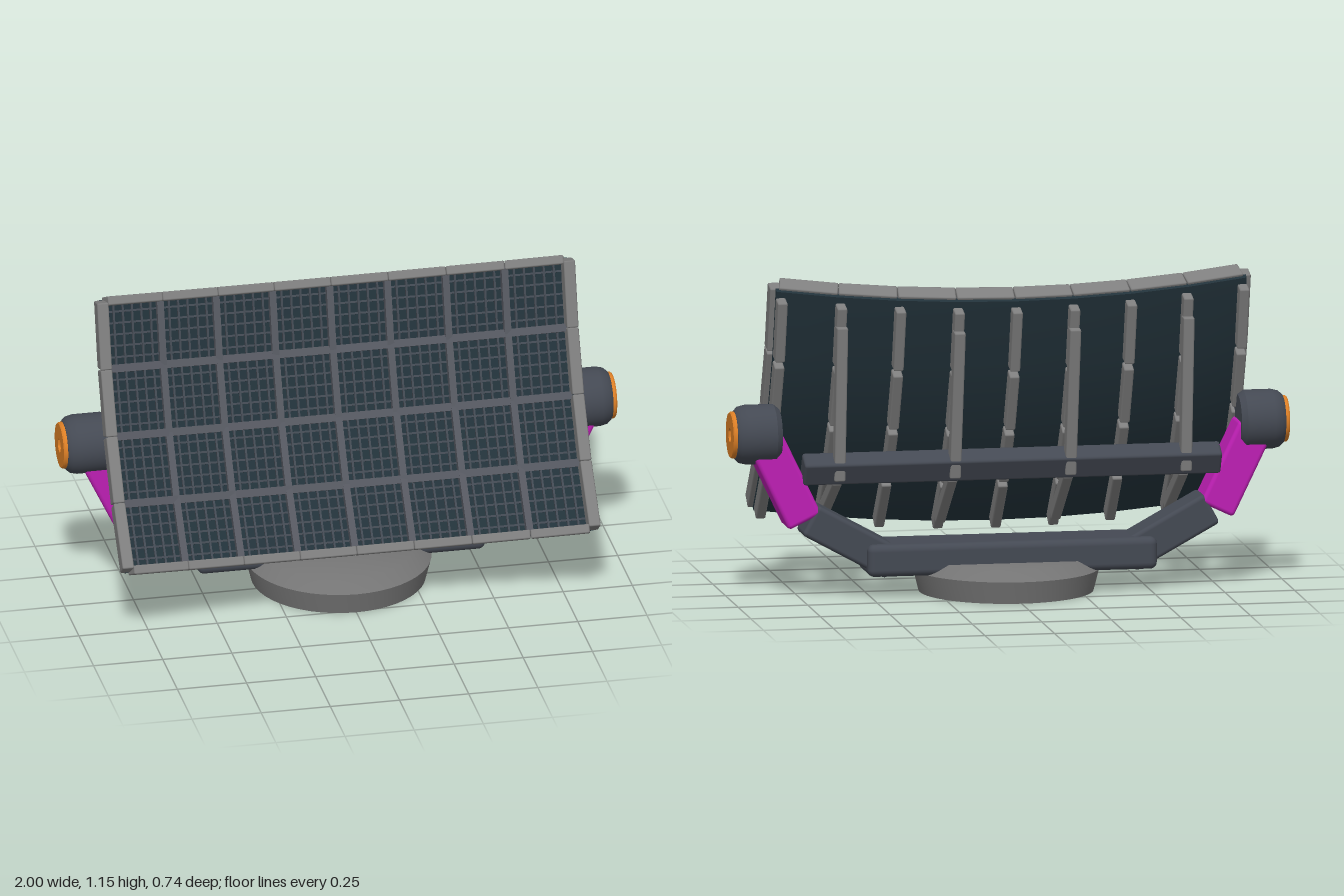
import * as THREE from 'three';
import { mergeGeometries, toCreasedNormals } from 'three/addons/utils/BufferGeometryUtils.js';
import { RoundedBoxGeometry } from 'three/addons/geometries/RoundedBoxGeometry.js';

const mat = (name, color) => {
  const m = new THREE.MeshStandardMaterial({ color });
  m.name = name;
  return m;
};

// Dish curvature: local z of the rim plane over width x and height v
const HALF_V = 0.49, HALF_X = 0.85;
const surface = (x, v) => 0.321 * (v * v - HALF_V ** 2) + 0.137 * (x * x - HALF_X ** 2);
const at = (x, v, depth) => new THREE.Vector3(x, v, surface(x, v) - depth);

// Rectangular bar from a to b, its depth facing along local z
function bar(a, b, width, depth, round = 0) {
  const dir = b.clone().sub(a);
  const len = dir.length();
  dir.normalize();
  const z = new THREE.Vector3(0, 0, 1).addScaledVector(dir, -dir.z).normalize();
  const x = new THREE.Vector3().crossVectors(dir, z);
  const geo = round ? new RoundedBoxGeometry(width, len, depth, 1, round)
    : new THREE.BoxGeometry(width, len, depth);
  const m = new THREE.Matrix4().makeBasis(x, dir, z);
  m.setPosition(a.clone().add(b).multiplyScalar(0.5));
  return geo.applyMatrix4(m);
}

export function createModel() {
  const grey = mat('frame grey', 0x7e7e7e);
  const baseGrey = mat('base grey', 0x747474);
  const slate = mat('slate', 0x444953);
  const divider = mat('divider grey', 0x555860);
  const wire = mat('wire grey', 0x424952);
  const teal = mat('dark teal', 0x22323a);
  const magenta = mat('magenta', 0xbe1fb4);
  const orange = mat('orange', 0xdc7f26);

  const root = new THREE.Group();
  const add = (parent, name, geo, material) => {
    const mesh = new THREE.Mesh(geo, material);
    mesh.name = name;
    parent.add(mesh);
    return mesh;
  };
  const lathe = (pts, seg = 48) => toCreasedNormals(
    new THREE.LatheGeometry(pts.map(p => new THREE.Vector2(...p)), seg), 0.6);

  // Round foot with a bevelled top and a bolt hole underneath
  const base = add(root, 'base', lathe([[0, 0.05], [0.045, 0.05], [0.045, 0], [0.31, 0],
    [0.33, 0.08], [0.274, 0.118], [0, 0.118]]), baseGrey);
  base.position.z = -0.046;

  // Yoke: bottom block, two sloping arms, two uprights and pivots
  const block = add(root, 'yokeBlock', new RoundedBoxGeometry(1.04, 0.115, 0.215, 3, 0.025), slate);
  block.position.set(0, 0.137, -0.083);

  const limb = (name, a, b, width, s, material) => {
    const dx = b[0] - a[0], dy = b[1] - a[1];
    const mesh = add(root, name,
      new RoundedBoxGeometry(width, Math.hypot(dx, dy), 0.142, 3, 0.015), material);
    mesh.position.set(s * (a[0] + b[0]) / 2, (a[1] + b[1]) / 2, -0.084);
    mesh.rotation.z = -s * Math.atan2(dx, dy);
  };

  for (const s of [1, -1]) {
    const side = s > 0 ? 'left' : 'right';
    limb(side + 'LowerArm', [0.42, 0.12], [0.722, 0.286], 0.12, s, slate);
    limb(side + 'Upright', [0.74, 0.28], [0.88, 0.57], 0.13, s, magenta);

    const pivot = new THREE.Group();
    pivot.name = side + 'Pivot';
    pivot.position.set(0, 0.59, -0.085);
    pivot.rotation.z = -s * Math.PI / 2;
    root.add(pivot);
    add(pivot, 'barrel', lathe([[0, 0.825], [0.09, 0.825], [0.106, 0.845], [0.106, 0.945],
      [0.1, 0.97], [0.086, 0.985], [0, 0.985]]), slate);
    add(pivot, 'pivotCap', lathe([[0.025, 0.98], [0.083, 0.98], [0.083, 0.995],
      [0.079, 1], [0.025, 1], [0.025, 0.98]]), orange);
    const hub = add(pivot, 'hub', new THREE.CylinderGeometry(0.025, 0.025, 0.006, 24), magenta);
    hub.position.y = 0.985;
  }

  // Tilted curved panel
  const panel = new THREE.Group();
  panel.name = 'panel';
  panel.position.set(0, 0.719, 0.1435);
  panel.rotation.x = -0.485;
  root.add(panel);

  // Backing sheet
  const sheet = new THREE.BoxGeometry(1.69, 0.97, 0.02, 8, 4, 1);
  const p = sheet.attributes.position;
  for (let i = 0; i < p.count; i++) {
    p.setZ(i, p.getZ(i) + surface(p.getX(i), p.getY(i)) - 0.068);
  }
  sheet.computeVertexNormals();
  add(panel, 'sheet', sheet, teal);

  // Grid lines: columns and rows at cell positions, in straight pieces
  const COLS = 8, ROWS = 4, FINE = 6;
  const X = i => -0.83 + 1.66 * i / COLS;
  const V = j => -0.48 + 0.96 * j / ROWS;
  const dividers = [], wires = [], ribs = [], rims = [];
  const column = (list, x, width, depth, d, gap = 0, round = 0) => {
    for (let j = 0; j < ROWS; j++) {
      list.push(bar(at(x, V(j) + gap, d), at(x, V(j + 1) - gap, d), width, depth, round));
    }
  };
  const row = (list, v, width, depth, d, gap = 0, round = 0) => {
    for (let i = 0; i < COLS; i++) {
      list.push(bar(at(X(i) + gap, v, d), at(X(i + 1) - gap, v, d), width, depth, round));
    }
  };
  for (let i = 1; i < COLS; i++) column(dividers, X(i), 0.024, 0.034, 0.044);
  for (let j = 1; j < ROWS; j++) row(dividers, V(j), 0.028, 0.034, 0.044);
  for (let i = 0; i < COLS; i++) {
    for (let k = 1; k < FINE; k++) column(wires, X(i + k / FINE), 0.007, 0.018, 0.052);
  }
  for (let j = 0; j < ROWS; j++) {
    for (let k = 1; k < FINE; k++) row(wires, V(j + k / FINE), 0.007, 0.014, 0.052);
  }
  add(panel, 'cellDividers', mergeGeometries(dividers), divider);
  add(panel, 'cellWires', mergeGeometries(wires), wire);

  // Rim of short straight pieces
  for (const s of [1, -1]) {
    column(rims, s * 0.843, 0.042, 0.06, 0.03, 0.002, 0.005);
    row(rims, s * 0.478, 0.032, 0.064, 0.031, 0.001, 0.005);
  }
  add(panel, 'rim', mergeGeometries(rims), grey);

  // Segmented ribs behind every column line
  for (let i = 0; i <= COLS; i++) {
    column(ribs, X(i), 0.036, 0.054, 0.106, 0.008, 0.006);
  }
  add(panel, 'backRibs', mergeGeometries(ribs), grey);

  // Straight struts from the ribs to the cross beam
  const struts = [];
  for (const i of [1, 3, 5, 7]) {
    const x = X(i);
    struts.push(bar(at(x, 0.41, 0.128), new THREE.Vector3(x, -0.112, -0.408), 0.04, 0.05, 0.006));
    struts.push(bar(at(x, -0.42, 0.128), new THREE.Vector3(x, -0.135, -0.372), 0.036, 0.045, 0.006));
  }
  add(panel, 'backStruts', mergeGeometries(struts), grey);

  const beam = add(panel, 'crossBeam', new RoundedBoxGeometry(1.5, 0.09, 0.08, 2, 0.01), slate);
  beam.position.set(0, -0.084, -0.376);

  return root;
}
